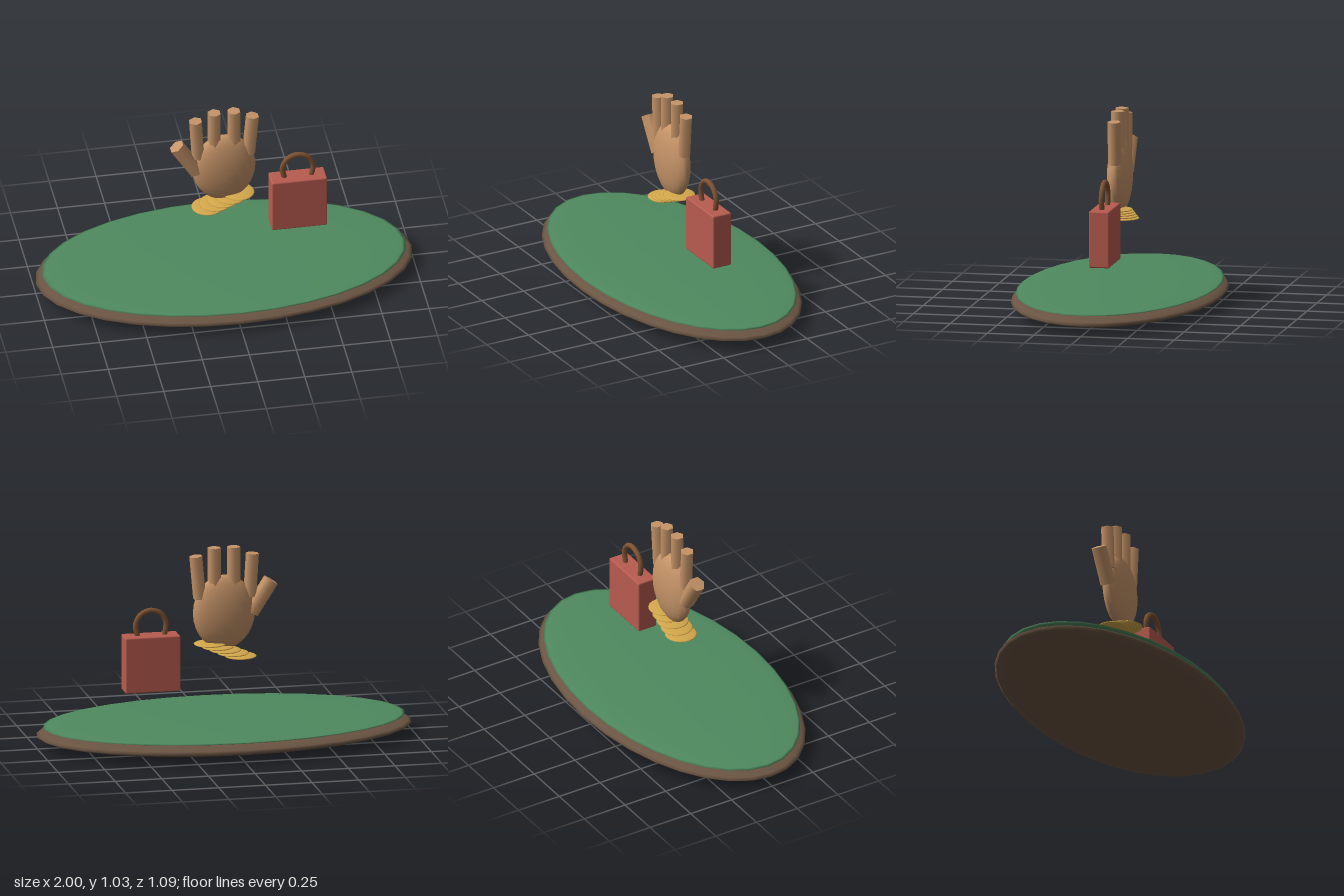
import * as THREE from 'three';
import { RoundedBoxGeometry } from 'three/addons/geometries/RoundedBoxGeometry.js';

const paint = (color) => new THREE.MeshStandardMaterial({ color });

export function createModel() {
  const model = new THREE.Group();
  const wood = paint(0x6b5543), felt = paint(0x4f8a5f), skin = paint(0xc69468);
  const gold = paint(0xd4a84b), red = paint(0xb85c50), leather = paint(0x7d5233);

  const add = (parent, name, geometry, material, x = 0, y = 0, z = 0) => {
    const mesh = new THREE.Mesh(geometry, material);
    mesh.name = name;
    mesh.position.set(x, y, z);
    parent.add(mesh);
    return mesh;
  };
  const ellipsoid = (rx, ry, rz, w, h) => new THREE.SphereGeometry(1, w, h).scale(rx, ry, rz);
  const group = (name) => {
    const g = new THREE.Group();
    g.name = name;
    model.add(g);
    return g;
  };

  // Oval table top with its cloth
  const table = group('table');
  add(table, 'tableTop', ellipsoid(1, 0.06, 0.545, 32, 16), wood, 0, 0.06);
  add(table, 'tableCloth', ellipsoid(0.965, 0.018, 0.52, 32, 16), felt, 0, 0.104);

  // Hand: flattened palm, four six-sided fingers and a thumb
  const hand = group('hand');
  add(hand, 'palm', ellipsoid(0.167, 0.2, 0.062, 20, 14), skin, 0, 0.687);
  // Each digit: name, radius, length, centre x, centre y, tilt
  const digits = [
    ['indexFinger', 0.036, 0.23, -0.145, 0.88, 0.06],
    ['middleFinger', 0.036, 0.26, -0.052, 0.905, 0],
    ['ringFinger', 0.036, 0.26, 0.052, 0.905, 0],
    ['littleFinger', 0.036, 0.23, 0.141, 0.88, -0.09],
    ['thumb', 0.043, 0.2, -0.198, 0.761, 0.57],
  ];
  for (const [name, r, length, x, y, tilt] of digits) {
    add(hand, name, new THREE.CylinderGeometry(r, r, length, 6), skin, x, y).rotation.z = tilt;
  }

  // Stepped stack of coins below the palm
  const coins = group('coins');
  for (let i = 0; i < 5; i++) {
    add(coins, 'coin', ellipsoid(0.085, 0.009, 0.085, 20, 10), gold, -0.088 + i * 0.041, 0.444 + i * 0.0185);
  }

  // Bag with an arched handle
  const bag = group('bag');
  add(bag, 'bagBody', new RoundedBoxGeometry(0.295, 0.3, 0.11, 2, 0.008), red, 0.392, 0.434);
  const arch = new THREE.CatmullRomCurve3(
    [[-0.07, -0.06], [-0.081, 0.015], [-0.052, 0.065], [0, 0.084], [0.052, 0.065], [0.081, 0.015], [0.07, -0.06]]
      .map(([x, y]) => new THREE.Vector3(x, y, 0))
  );
  add(bag, 'bagHandle', new THREE.TubeGeometry(arch, 24, 0.0145, 8), leather, 0.392, 0.631);

  return model;
}
